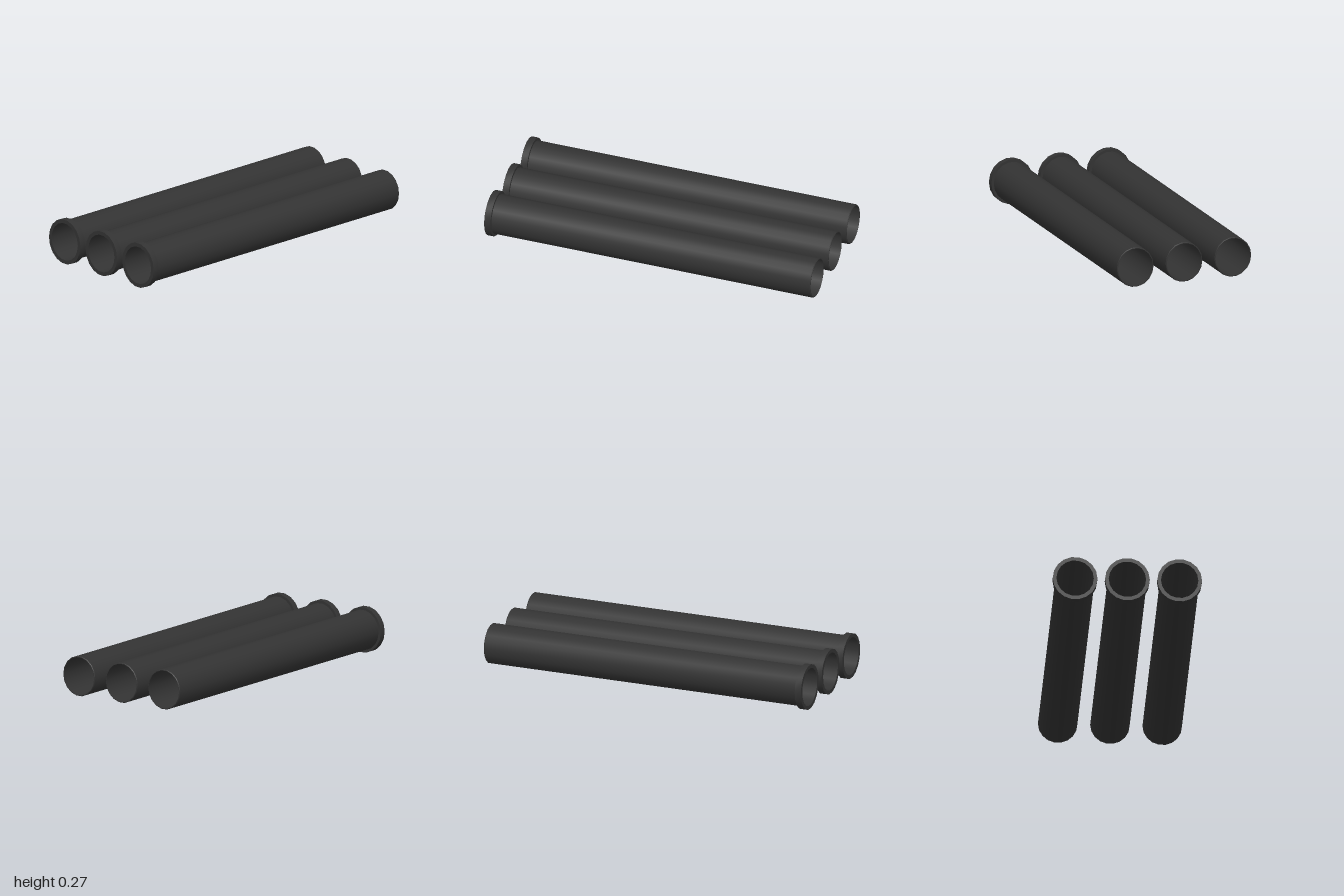
import * as THREE from 'three';
import { toCreasedNormals } from 'three/addons/utils/BufferGeometryUtils.js';

const SIDES = 18;
const STRETCH = 1.04; // pipes are slightly taller than wide
const CENTER_Y = 0.133;

// Closed profile of [radius, z], outside running forward, bore running back
const profile = [
  [0.108, -1], [0.111, -1], [0.114, -0.996], // chamfered rear rim
  [0.114, 0.961], [0.1295, 0.961],           // step up to the collar
  [0.1295, 1], [0.108, 1],                   // collar and front rim
  [0.108, -1],                               // bore
];

function pipeGeometry() {
  const points = profile.map(([r, z]) => new THREE.Vector2(r, z));
  const geo = new THREE.LatheGeometry(points, SIDES, Math.PI / 2);
  geo.rotateX(Math.PI / 2); // lathe axis onto z
  geo.scale(1, STRETCH, 1);
  return toCreasedNormals(geo, 0.6);
}

export function createModel() {
  const group = new THREE.Group();
  group.name = 'pipes';
  const material = new THREE.MeshStandardMaterial({ color: 0x333333 });
  const geometry = pipeGeometry();

  // Three parallel pipes side by side
  [['rightPipe', -0.302], ['middlePipe', 0], ['leftPipe', 0.302]].forEach(([name, x]) => {
    const pipe = new THREE.Mesh(geometry, material);
    pipe.name = name;
    pipe.position.set(x, CENTER_Y, 0);
    group.add(pipe);
  });
  return group;
}
